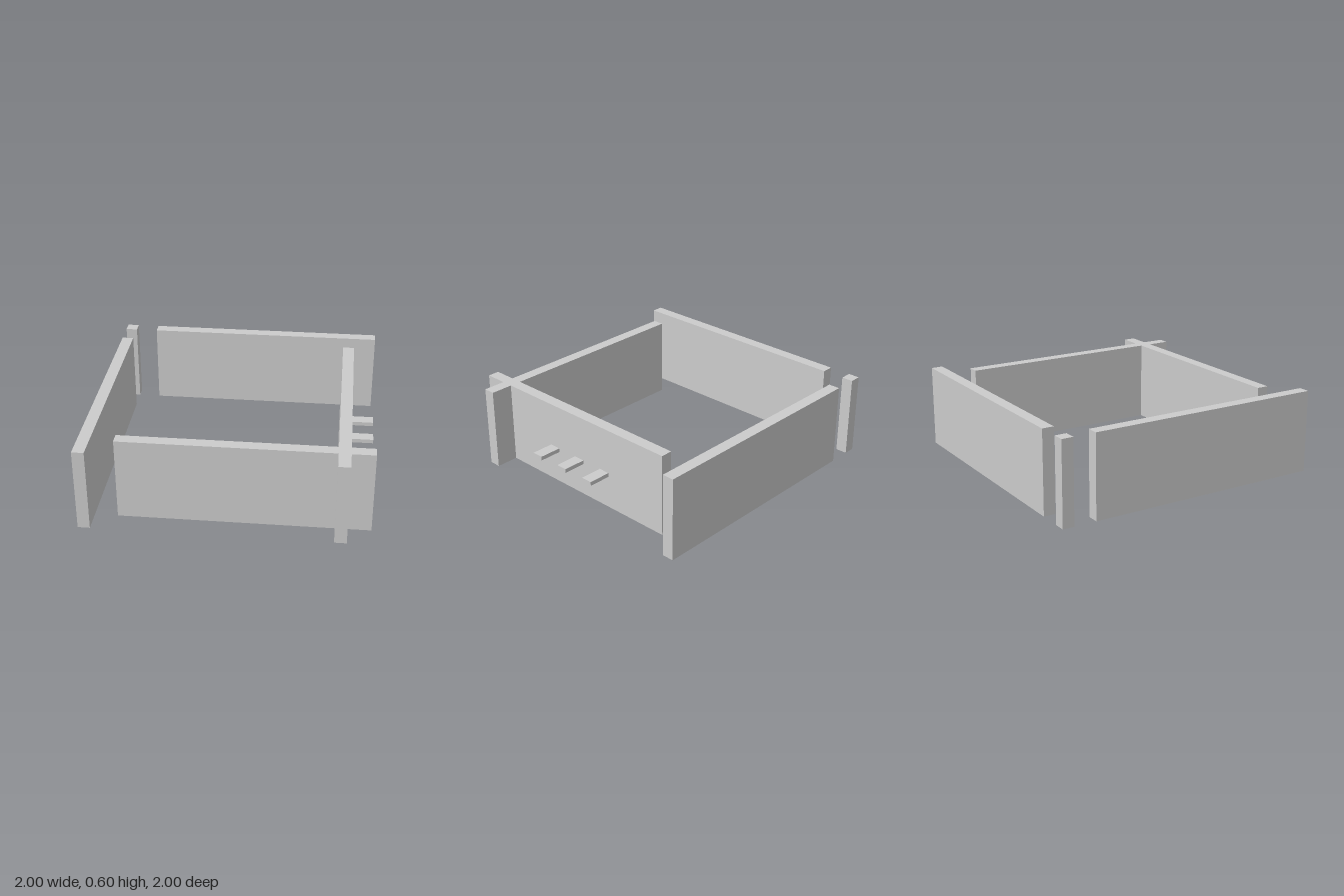
import * as THREE from 'three';

const H = 0.6;      // wall height
const OUT = 1;      // outer limit of the plan
const T = 0.085;    // wall thickness
const END = -0.753; // free end of every wall
const IN = 0.75;    // inner face of the crossing walls

export function createModel() {
  const model = new THREE.Group();
  const material = new THREE.MeshStandardMaterial({ color: 0xcccccc, flatShading: true });

  const add = (name, geometry) => {
    const mesh = new THREE.Mesh(geometry, material);
    mesh.name = name;
    model.add(mesh);
    return mesh;
  };

  // Box given by its lower and upper limits on each axis
  const block = (name, [x0, x1], [y0, y1], [z0, z1]) =>
    add(name, new THREE.BoxGeometry(x1 - x0, y1 - y0, z1 - z0))
      .position.set((x0 + x1) / 2, (y0 + y1) / 2, (z0 + z1) / 2);

  // Free-standing walls and the corner post between them
  block('rightWall', [-OUT, -OUT + T], [0, H], [END, OUT]);
  block('backWall', [END, OUT], [0, H], [-OUT, -OUT + T]);
  block('cornerPost', [-OUT, -OUT + T], [0, H], [-OUT, -OUT + T]);

  // Front and left walls crossing at the corner, extruded from one plan (x, -z)
  const a = IN, b = IN + T;
  const plan = new THREE.Shape([
    [a, -OUT], [b, -OUT], [b, -b], [OUT, -b], [OUT, -a], [b, -a],
    [b, -END], [a, -END], [a, -a], [END, -a], [END, -b], [a, -b],
  ].map(([x, y]) => new THREE.Vector2(x, y)));
  add('crossingWalls', new THREE.ExtrudeGeometry(plan, { depth: H, bevelEnabled: false })
    .rotateX(-Math.PI / 2));

  // Three flat pegs on the outside of the left wall
  [-0.25, 0, 0.25].forEach((z, i) =>
    block(`peg${i + 1}`, [b, OUT], [0.243, 0.272], [z, z + T]));

  return model;
}
